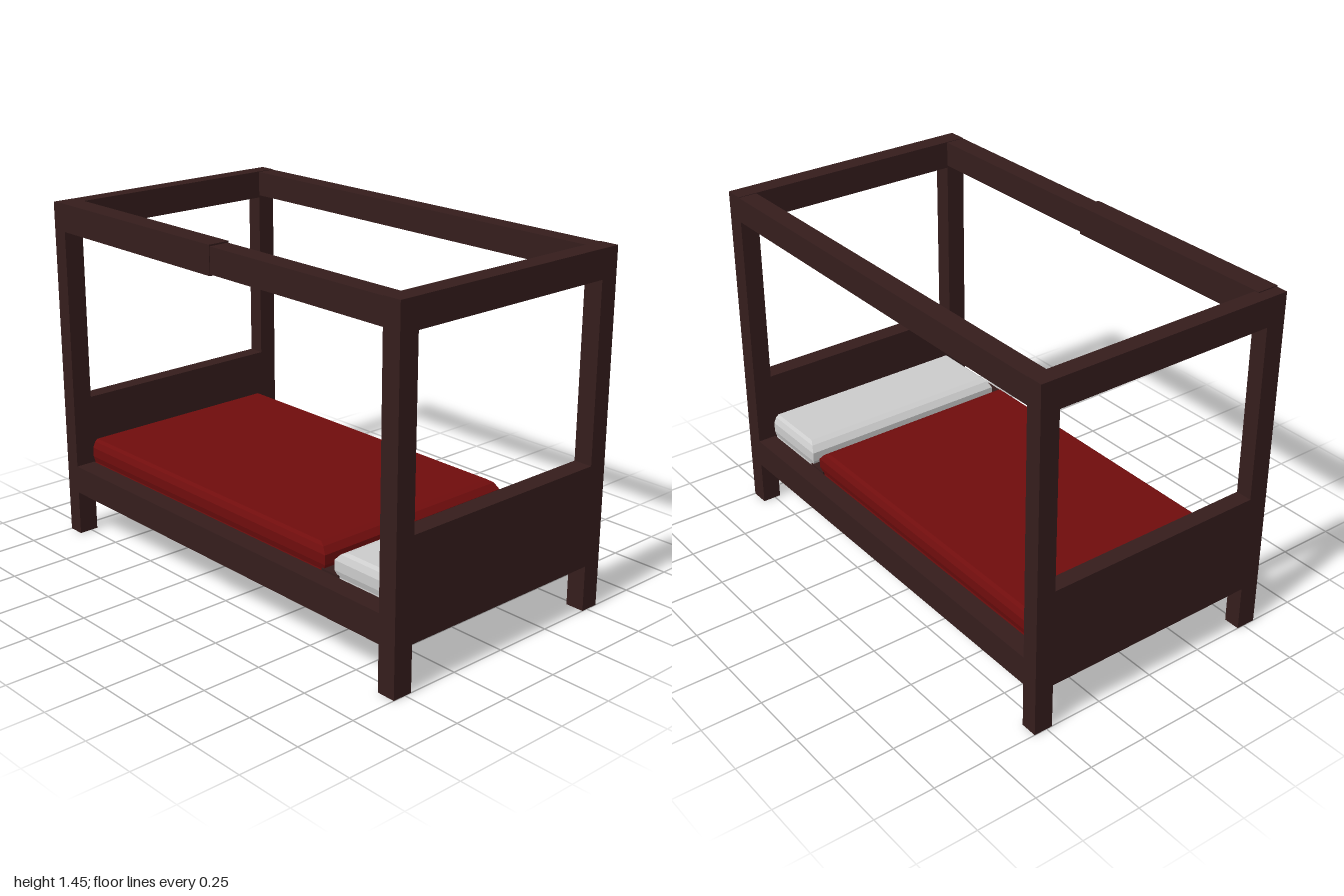
import * as THREE from 'three';

const wood = new THREE.MeshStandardMaterial({ color: 0x351d1c });
const red = new THREE.MeshStandardMaterial({ color: 0x700d0d, flatShading: true });
const grey = new THREE.MeshStandardMaterial({ color: 0xcccccc, flatShading: true });

// Box given by its limits on each axis
function block(name, [x0, x1], [y0, y1], [z0, z1], material = wood) {
  const mesh = new THREE.Mesh(new THREE.BoxGeometry(x1 - x0, y1 - y0, z1 - z0), material);
  mesh.position.set((x0 + x1) / 2, (y0 + y1) / 2, (z0 + z1) / 2);
  mesh.name = name;
  return mesh;
}

// Soft block: each layer is [height, inset]; the end touching a board stays straight
function cushion(name, [x0, x1], [z0, z1], freeEnd, material) {
  const layers = [[0.2, 0], [0.31, 0.012], [0.335, 0], [0.375, 0], [0.4, 0.018], [0.41, 0.04]];
  const n = layers.length - 1;
  const geometry = new THREE.BoxGeometry(1, 1, 1, 1, n, 1);
  const p = geometry.attributes.position;
  for (let i = 0; i < p.count; i++) {
    const [y, inset] = layers[Math.round((p.getY(i) + 0.5) * n)];
    const sx = Math.sign(p.getX(i)), sz = Math.sign(p.getZ(i));
    const x = (sx < 0 ? x0 : x1) - (sx === freeEnd ? sx * inset * 1.2 : 0);
    const z = (sz < 0 ? z0 : z1) - sz * inset * 0.6;
    p.setXYZ(i, x, y, z);
  }
  geometry.computeVertexNormals();
  const mesh = new THREE.Mesh(geometry, material);
  mesh.name = name;
  return mesh;
}

export function createModel() {
  const bed = new THREE.Group();
  bed.name = 'canopyBed';

  const ends = { foot: [-1, -0.93], head: [0.92, 1] };
  const sides = { Front: [0.47, 0.555], Back: [-0.555, -0.475] };
  const innerX = [-0.93, 0.92], innerZ = [-0.475, 0.47];

  // Four corner posts, end boards and short canopy rails
  for (const [end, x] of Object.entries(ends)) {
    for (const [side, z] of Object.entries(sides)) {
      bed.add(block(`${end}Post${side}`, x, [0, 1.447], z));
    }
    bed.add(block(`${end}Board`, x, [0.19, 0.605], innerZ));
    bed.add(block(`${end}CanopyRail`, x, [1.33, 1.447], innerZ));
  }

  // Long rails below and above
  for (const [side, z] of Object.entries(sides)) {
    bed.add(block(`bedRail${side}`, innerX, [0.19, 0.31], z));
    bed.add(block(`canopyRail${side}`, innerX, [1.34, 1.445], z));
  }

  // Slightly thicker sleeve on half of the front canopy rail
  bed.add(block('canopyRailSleeve', [-0.95, 0.02], [1.334, 1.451], [0.466, 0.558]));

  // Crossbar between mattress and pillow
  bed.add(block('crossbar', [0.53, 0.62], [0.205, 0.318], innerZ));

  // Pale patch on the inner side of one leg
  bed.add(block('legInset', [0.922, 0.998], [0.002, 0.19], [0.468, 0.475], grey));

  // Bedding
  bed.add(cushion('mattress', [-0.93, 0.55], innerZ, 1, red));
  bed.add(cushion('pillow', [0.6, 0.92], innerZ, -1, grey));

  return bed;
}
